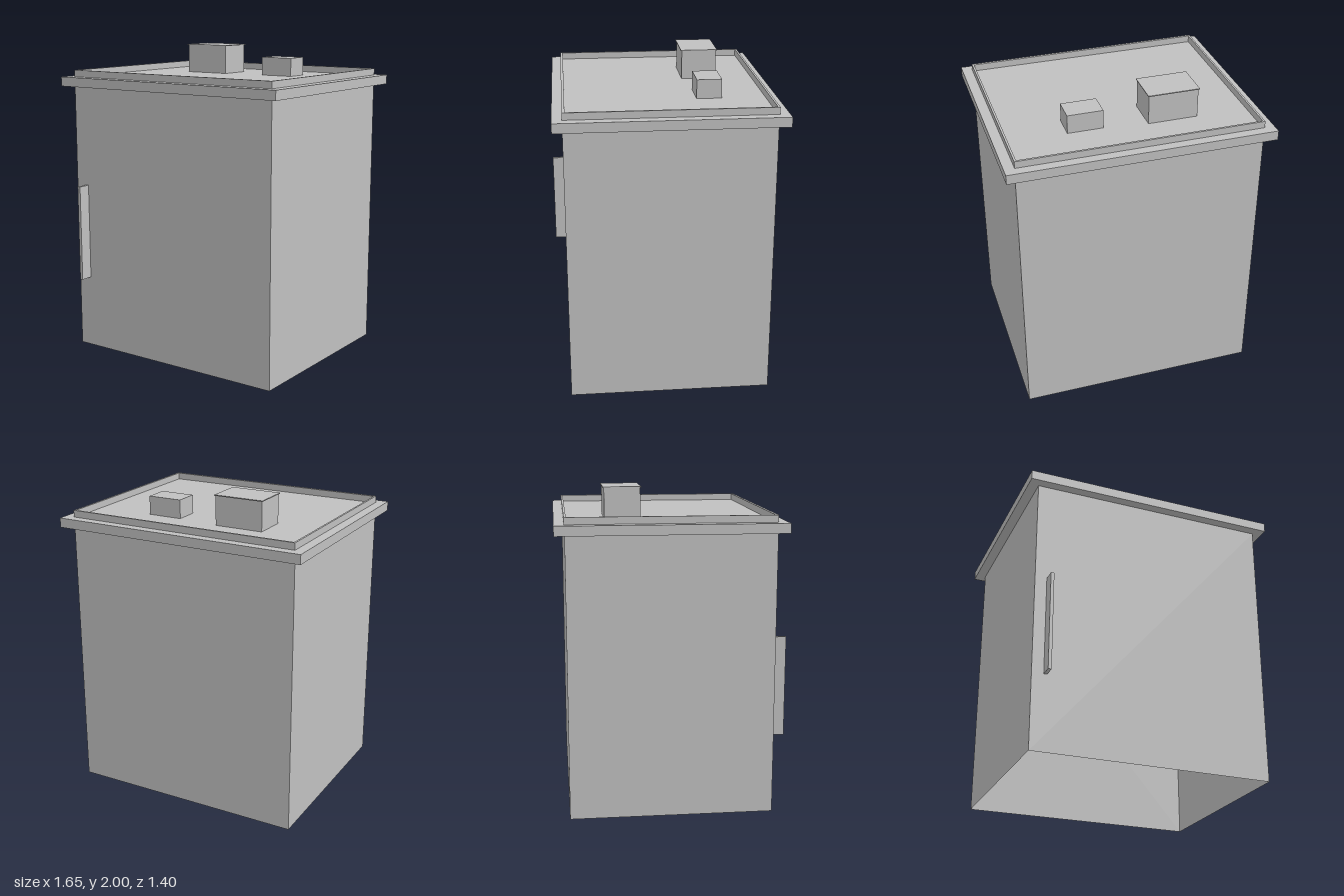
import * as THREE from 'three';

const grey = new THREE.MeshStandardMaterial({ color: 0xc0c0c0, side: THREE.DoubleSide });
grey.name = 'plain grey';

export function createModel() {
  const group = new THREE.Group();

  const add = (name, geometry) => {
    const mesh = new THREE.Mesh(geometry, grey);
    mesh.name = name;
    group.add(mesh);
    return mesh;
  };

  // Box given by its limits along each axis
  const boxGeometry = (x0, x1, y0, y1, z0, z1) =>
    new THREE.BoxGeometry(x1 - x0, y1 - y0, z1 - z0)
      .translate((x0 + x1) / 2, (y0 + y1) / 2, (z0 + z1) / 2);

  // Four thin walls, open underneath: drop the top and bottom faces of a box
  const walls = boxGeometry(-0.762, 0.76, 0, 1.75, -0.637, 0.62);
  const index = Array.from(walls.index.array);
  walls.setIndex([...index.slice(0, 12), ...index.slice(24)]);
  walls.clearGroups();
  add('walls', walls);

  // Overhanging roof slab
  add('roofSlab', boxGeometry(-0.825, 0.823, 1.75, 1.81, -0.7, 0.68));

  // Narrow parapet around the roof
  const rectangle = (Type, x0, x1, z0, z1) => new Type([
    new THREE.Vector2(x0, -z1), new THREE.Vector2(x1, -z1),
    new THREE.Vector2(x1, -z0), new THREE.Vector2(x0, -z0),
  ]);
  const rim = rectangle(THREE.Shape, -0.762, 0.76, -0.64, 0.62);
  rim.holes.push(rectangle(THREE.Path, -0.75, 0.747, -0.627, 0.603));
  add('parapet', new THREE.ExtrudeGeometry(rim, { depth: 0.043, bevelEnabled: false })
    .rotateX(-Math.PI / 2).translate(0, 1.81, 0));

  // Rooftop units, the larger with a thin overhanging cap
  add('largeRoofUnit', boxGeometry(-0.428, -0.116, 1.81, 1.995, -0.39, -0.168));
  add('largeUnitCap', boxGeometry(-0.434, -0.11, 1.994, 2, -0.397, -0.162));
  add('smallRoofUnit', boxGeometry(0.155, 0.378, 1.81, 1.928, -0.357, -0.202));

  // Tall fin on the front wall
  add('frontFin', boxGeometry(-0.688, -0.667, 0.475, 1.102, 0.62, 0.7));

  return group;
}
